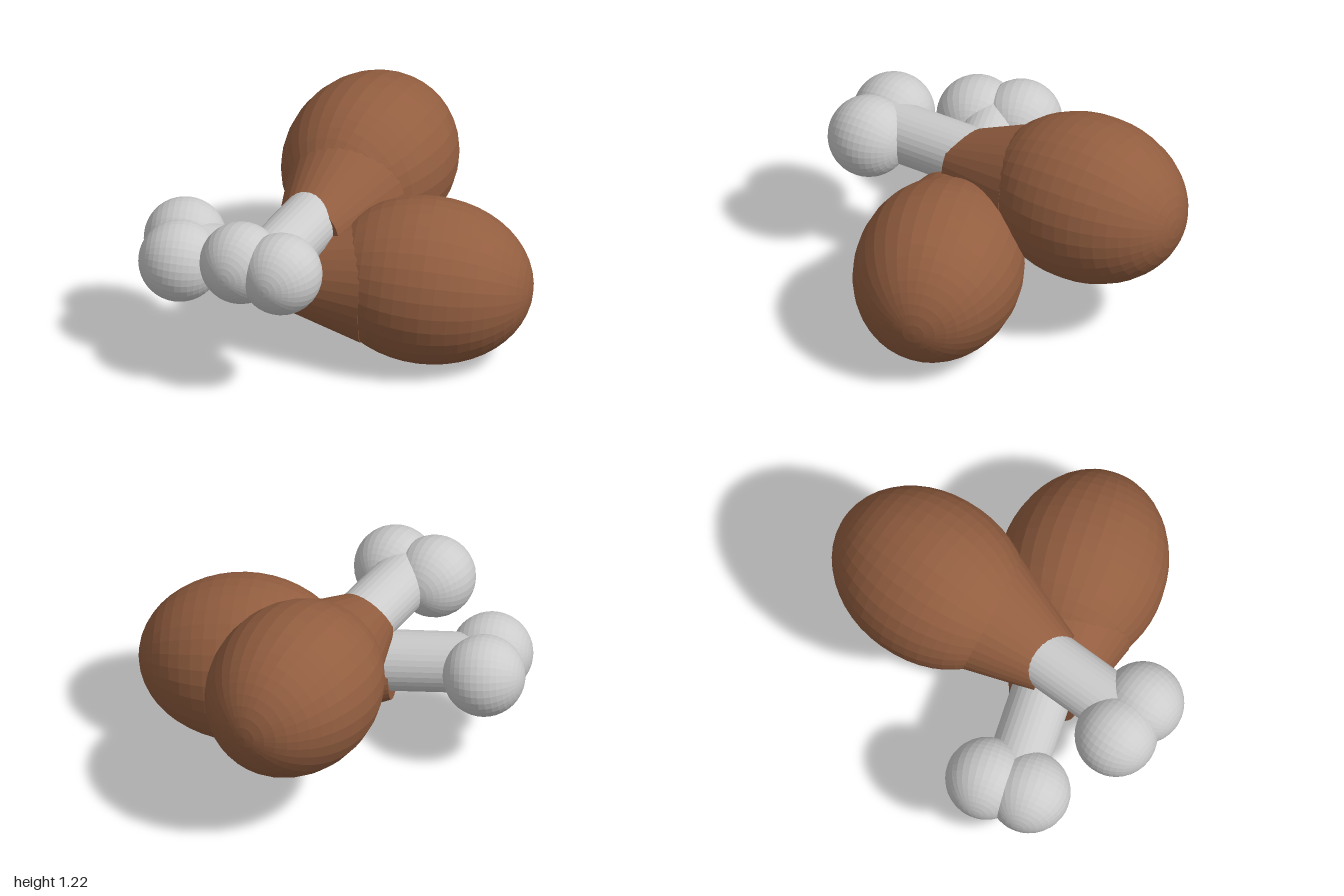
import * as THREE from 'three';

const meatMat = new THREE.MeshStandardMaterial({ color: 0x935e40, flatShading: true });
const boneMat = new THREE.MeshStandardMaterial({ color: 0xcccccc, flatShading: true });

function part(name, geometry, material, x, y, z) {
  const mesh = new THREE.Mesh(geometry, material);
  mesh.name = name;
  mesh.position.set(x, y, z);
  return mesh;
}

// One drumstick lying along +z: rounded meat at the origin, bone towards +z
function drumstick(name, centre, target) {
  const g = new THREE.Group();
  g.name = name;

  // Rounded meat, stretched along the bone
  const ball = new THREE.SphereGeometry(0.45, 32, 24).scale(1, 1.25, 1).rotateX(Math.PI / 2);
  g.add(part('meat', ball, meatMat, 0, 0, 0));

  // Tapering neck, set slightly below the bone
  const neck = new THREE.CylinderGeometry(0.18, 0.345, 0.47, 32).rotateX(Math.PI / 2);
  const neckMesh = part('meatNeck', neck, meatMat, 0.025, -0.035, 0.565);
  neckMesh.rotation.x = 0.05;
  g.add(neckMesh);

  // Bone shaft with two knobs at its end
  const shaft = new THREE.CylinderGeometry(0.162, 0.165, 0.95, 32).rotateX(Math.PI / 2);
  g.add(part('boneShaft', shaft, boneMat, 0.01, 0, 0.8));
  for (const side of [-1, 1]) {
    const knob = new THREE.SphereGeometry(0.22, 32, 20).rotateX(Math.PI / 2);
    g.add(part('boneKnob', knob, boneMat, side * 0.119, side * -0.006, 1.317));
  }

  g.position.set(...centre);
  g.lookAt(...target);
  return g;
}

export function createModel() {
  const model = new THREE.Group();
  model.name = 'crossedDrumsticks';
  model.add(
    drumstick('upperDrumstick', [-0.414, 0.775, -0.464], [0.215, 0.7475, 0.69]),
    drumstick('lowerDrumstick', [0.385, 0.453, -0.275], [-0.4975, 0.555, 0.7])
  );
  return model;
}
